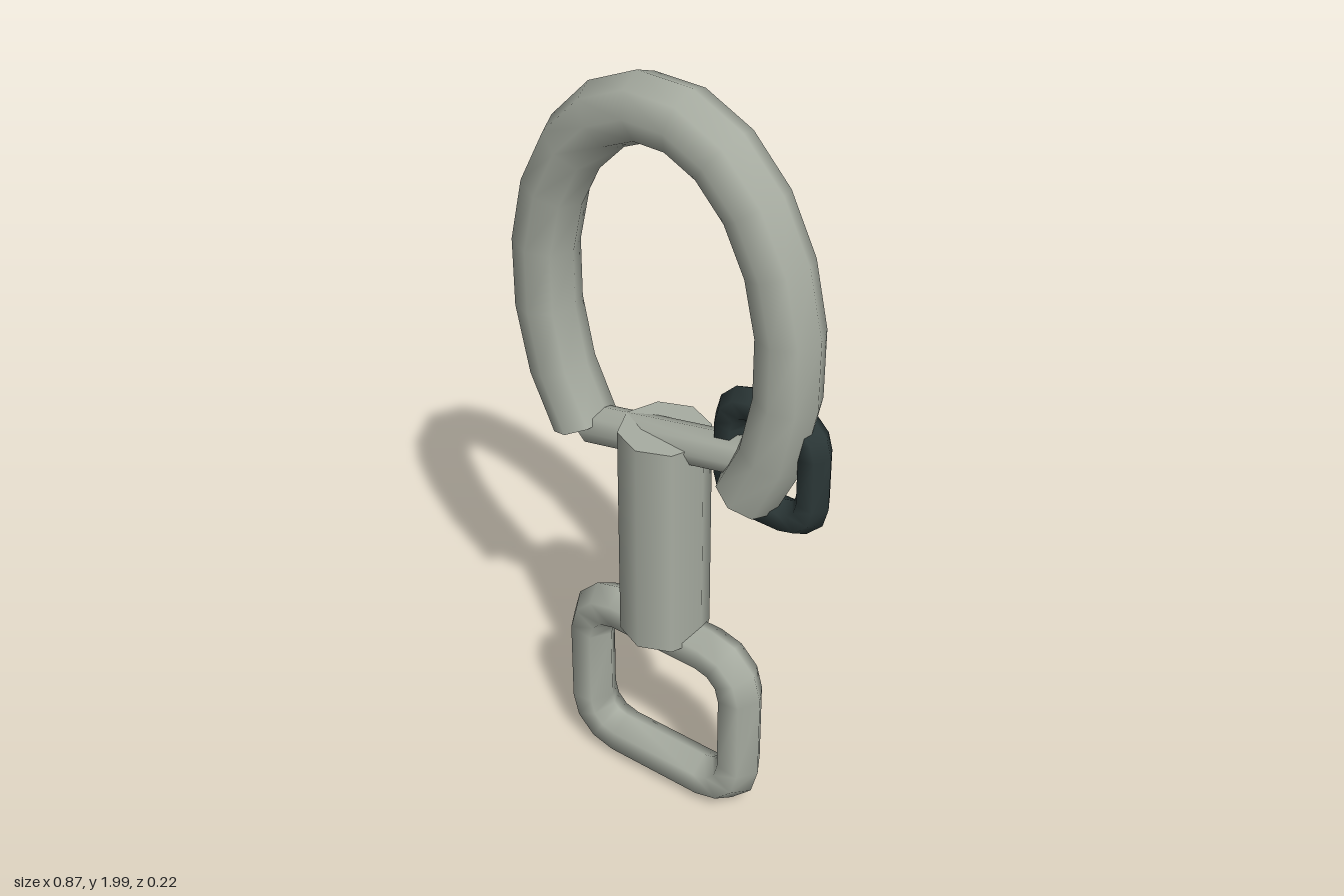
import * as THREE from 'three';

const CX = -0.0125; // shared centre line of the clip

// Sweeps a round section along a flat path in the xy plane, with mitred corners
function sweep(path, radius, sides, closed) {
  const n = path.length, pos = [], idx = [];
  const dir = (a, b) => b.clone().sub(a).normalize();
  const rings = path.map((p, i) => {
    const hasPrev = closed || i > 0, hasNext = closed || i < n - 1;
    const prev = hasPrev ? dir(path[(i + n - 1) % n], p) : null;
    const next = hasNext ? dir(p, path[(i + 1) % n]) : null;
    const a = prev || next, b = next || prev;
    const t = a.clone().add(b).normalize();
    const miter = 1 / Math.max(0.5, t.dot(a));
    const ring = [];
    for (let j = 0; j < sides; j++) {
      const ang = (j / sides) * Math.PI * 2;
      const off = Math.cos(ang) * radius * miter;
      ring.push([p.x - t.y * off, p.y + t.x * off, Math.sin(ang) * radius]);
    }
    return ring;
  });
  rings.forEach(r => r.forEach(v => pos.push(...v)));
  for (let i = 0; i < (closed ? n : n - 1); i++) {
    for (let j = 0; j < sides; j++) {
      const k = (j + 1) % sides, m = (i + 1) % n;
      const a = i * sides + j, b = i * sides + k, c = m * sides + k, d = m * sides + j;
      idx.push(a, b, c, a, c, d);
    }
  }
  // flat end caps with their own vertices
  if (!closed) {
    [[rings[0], true], [rings[n - 1], false]].forEach(([ring, start]) => {
      const base = pos.length / 3;
      ring.forEach(v => pos.push(...v));
      for (let j = 1; j < sides - 1; j++) {
        if (start) idx.push(base, base + j + 1, base + j);
        else idx.push(base, base + j, base + j + 1);
      }
    });
  }
  const g = new THREE.BufferGeometry();
  g.setAttribute('position', new THREE.Float32BufferAttribute(pos, 3));
  g.setIndex(idx);
  g.computeVertexNormals();
  return g;
}

// Centre line of a rounded rectangle, three segments per corner
function roundedRect(hw, hh, r) {
  const pts = [];
  [[1, 1], [-1, 1], [-1, -1], [1, -1]].forEach(([sx, sy], q) => {
    for (let i = 0; i <= 3; i++) {
      const a = (q + i / 3) * Math.PI / 2;
      pts.push(new THREE.Vector2(sx * (hw - r) + Math.cos(a) * r, sy * (hh - r) + Math.sin(a) * r));
    }
  });
  return pts;
}

export function createModel() {
  const group = new THREE.Group();
  const steel = new THREE.MeshStandardMaterial({ color: 0xa8ada2 });
  steel.name = 'greySteel';
  const dark = new THREE.MeshStandardMaterial({ color: 0x2c3838 });
  dark.name = 'darkMetal';

  const add = (name, geometry, material, x, y, z = 0) => {
    const mesh = new THREE.Mesh(geometry, material);
    mesh.name = name;
    mesh.position.set(x, y, z);
    group.add(mesh);
    return mesh;
  };

  // Open oval hook
  const hookPath = [];
  const end = THREE.MathUtils.degToRad(136);
  for (let i = 0; i <= 15; i++) {
    const a = -end + (2 * end * i) / 15;
    const b = Math.cos(a) > 0 ? 0.505 : 0.55;
    hookPath.push(new THREE.Vector2(Math.sin(a) * 0.345, Math.cos(a) * b));
  }
  add('hook', sweep(hookPath, 0.08, 8, false), steel, CX, 1.42);

  // Gate bar closing the hook
  const gatePath = [new THREE.Vector2(-0.235, 1.025), new THREE.Vector2(0.25, 1.13)];
  add('gate', sweep(gatePath, 0.05, 8, false), steel, 0, 0);

  // Swivel barrel
  add('barrel', new THREE.CylinderGeometry(0.1125, 0.1125, 0.595, 8), steel, CX, 0.8025);

  // Strap loop at the bottom
  add('strapLoop', sweep(roundedRect(0.2325, 0.2125, 0.1), 0.06, 6, true), steel, CX, 0.2775);

  // Small dark link on the hook end
  add('darkLink', sweep(roundedRect(0.115, 0.135, 0.07), 0.043, 6, true), dark, 0.2775, 1.1225, -0.02);

  return group;
}
